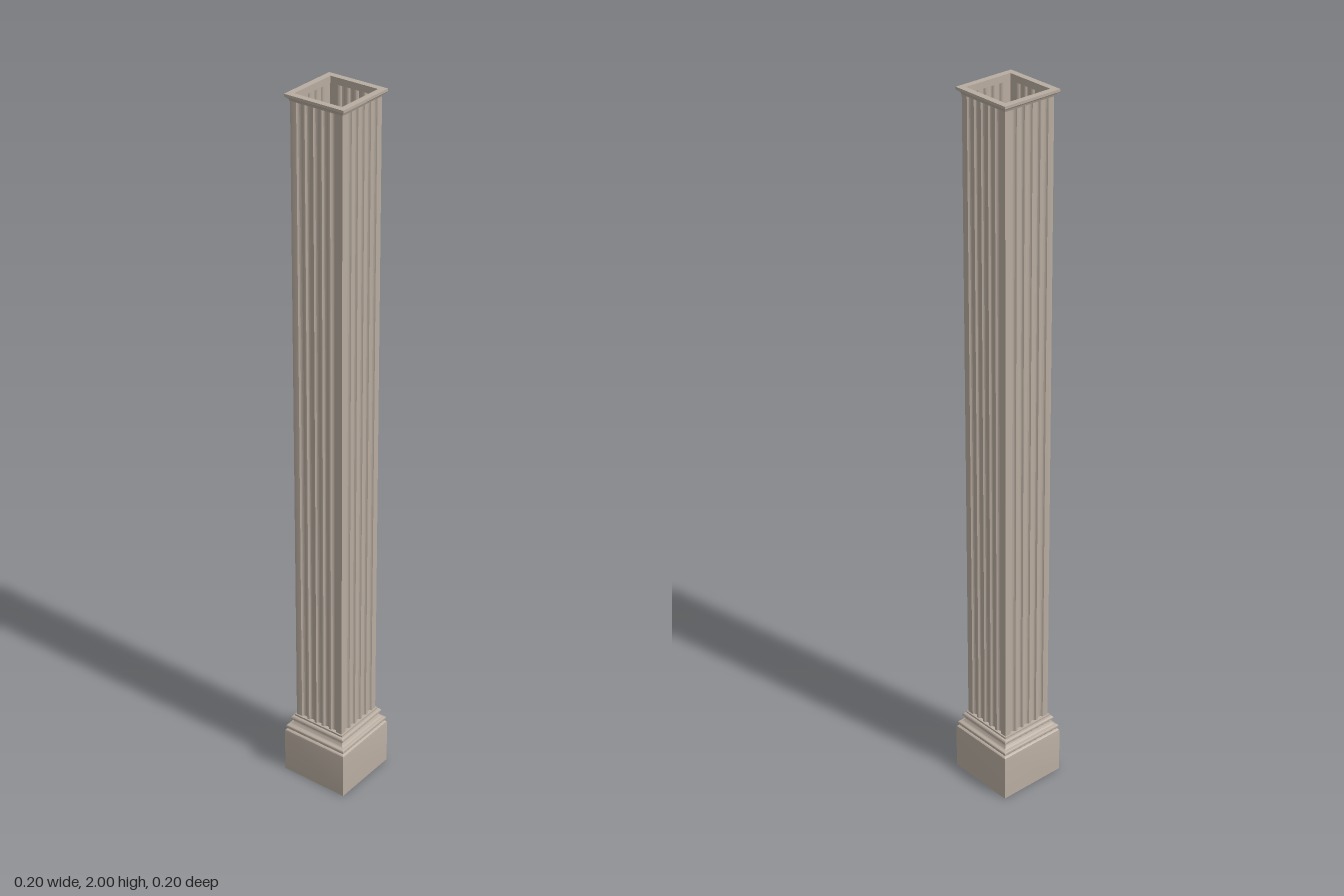
import * as THREE from 'three';
import { toCreasedNormals } from 'three/addons/utils/BufferGeometryUtils.js';

const stone = new THREE.MeshStandardMaterial({ color: 0xb8aca0, side: THREE.DoubleSide });
stone.name = 'warm stone';

const SHAFT = 0.077; // half width of the shaft
const INNER = 0.07; // half width of the hollow

function part(name, geometry) {
  const mesh = new THREE.Mesh(toCreasedNormals(geometry, 0.6), stone);
  mesh.name = name;
  return mesh;
}

// Sweeps a profile of [half width, height] points around a square
function squareRing(name, profile) {
  const points = profile.map(([w, y]) => new THREE.Vector2(w * Math.SQRT2, y));
  return part(name, new THREE.LatheGeometry(points, 4, Math.PI / 4));
}

// Half-round bead as profile points, from bottom to top
function bead(w, y, height, bulge) {
  return Array.from({ length: 7 }, (_, i) => {
    const a = (i / 6 - 0.5) * Math.PI;
    return [w + Math.cos(a) * bulge, y + (Math.sin(a) + 1) * height / 2];
  });
}

// Outline of one shaft face: flat strips separated by rounded flutes
function flutedSide(flutes = 5, pitch = 0.025, width = 0.018) {
  const side = [[-SHAFT, SHAFT]];
  for (let i = 0; i < flutes; i++) {
    const centre = (i - (flutes - 1) / 2) * pitch;
    for (let k = 0; k <= 8; k++) {
      const a = Math.PI * k / 8;
      side.push([centre - Math.cos(a) * width / 2, SHAFT - Math.sin(a) * (SHAFT - INNER)]);
    }
  }
  return side;
}

// Thin hollow wall from the four fluted sides
function shaftGeometry(y0, y1) {
  const outline = [];
  for (let s = 0; s < 4; s++) {
    const c = Math.round(Math.cos(s * Math.PI / 2));
    const n = Math.round(Math.sin(s * Math.PI / 2));
    for (const [x, z] of flutedSide()) outline.push([x * c + z * n, z * c - x * n]);
  }
  const positions = [];
  outline.forEach(([ax, az], i) => {
    const [bx, bz] = outline[(i + 1) % outline.length];
    positions.push(ax, y0, az, bx, y0, bz, bx, y1, bz);
    positions.push(ax, y0, az, bx, y1, bz, ax, y1, az);
  });
  const geometry = new THREE.BufferGeometry();
  geometry.setAttribute('position', new THREE.Float32BufferAttribute(positions, 3));
  geometry.computeVertexNormals();
  return geometry;
}

export function createModel() {
  const column = new THREE.Group();
  column.name = 'column';

  // Plinth, open underneath, with a softened top edge
  column.add(squareRing('plinth', [
    [0.101, 0], [0.101, 0.128], [0.1, 0.134], [0.097, 0.137], [0.094, 0.138],
  ]));

  // Stepped mouldings between plinth and shaft
  column.add(squareRing('baseMoulding', [
    [0.094, 0.138], ...bead(0.094, 0.14, 0.012, 0.005),
    [0.09, 0.153], [0.087, 0.156], [0.084, 0.16], [0.083, 0.166],
    ...bead(0.084, 0.168, 0.012, 0.005),
    [0.081, 0.181], [0.081, 0.186], [INNER, 0.186],
  ]));

  column.add(part('flutedShaft', shaftGeometry(0.186, 1.985)));

  // Flared cap with an open centre
  column.add(squareRing('cap', [
    [INNER, 1.982], [0.078, 1.982], [0.079, 1.986], [0.082, 1.99],
    [0.086, 1.992], [0.087, 1.993], [0.087, 2], [INNER, 2], [INNER, 1.982],
  ]));

  return column;
}
